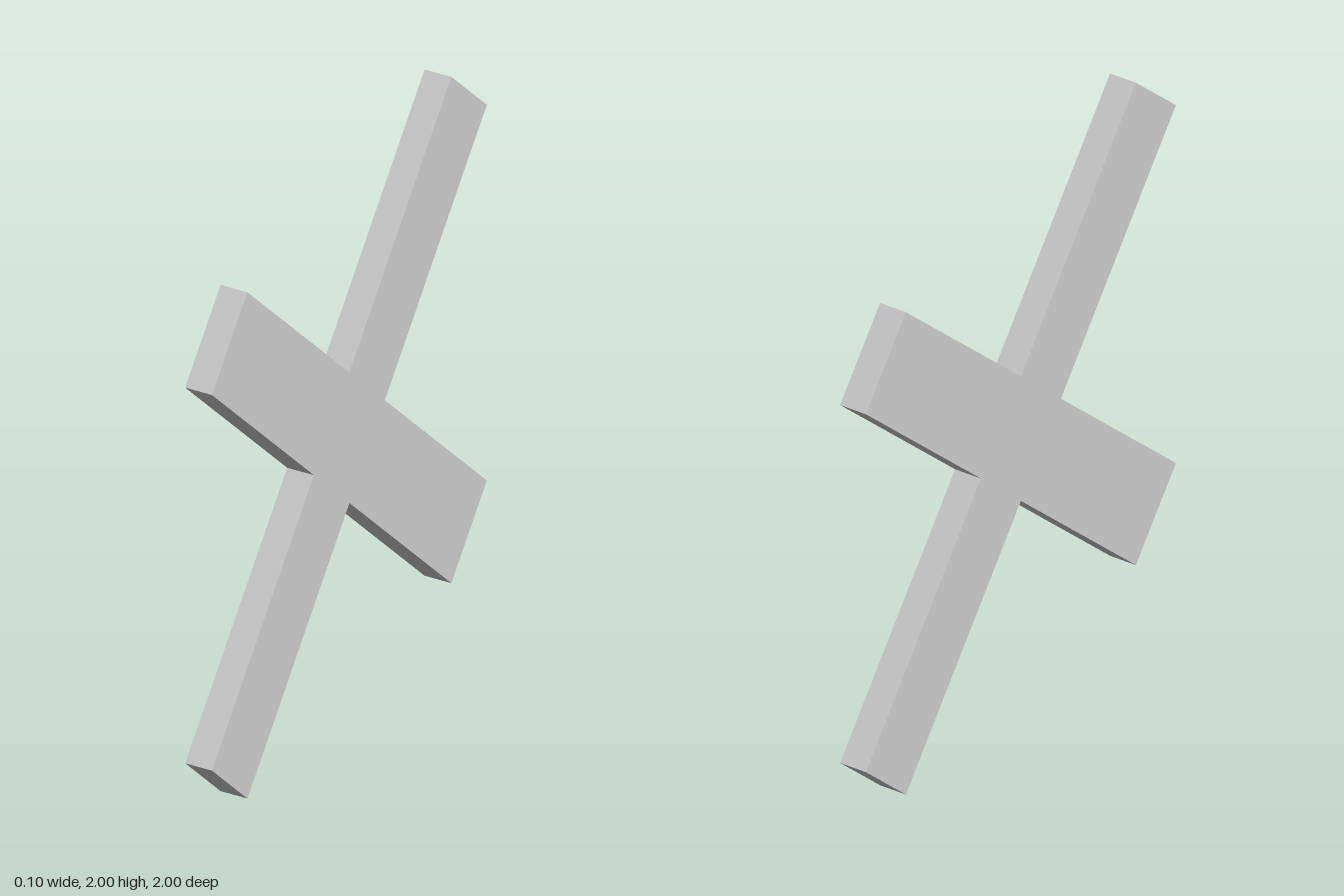
import * as THREE from 'three';

const NOTCH = 0.258;    // distance from centre to each inner corner
const THICKNESS = 0.1;

export function createModel() {
  const group = new THREE.Group();
  group.name = 'diagonalCross';

  // Outline: per quarter turn, one inner corner and the two corners of an arm end
  const quarter = [[NOTCH, 0], [1, 1 - NOTCH], [1 - NOTCH, 1]];
  const outline = [];
  for (let i = 0; i < 4; i++) {
    for (const [x, y] of quarter) {
      outline.push(new THREE.Vector2(x, y).rotateAround(new THREE.Vector2(), i * Math.PI / 2));
    }
  }

  // Flat plate, turned so that its broad faces look along x
  const geometry = new THREE.ExtrudeGeometry(new THREE.Shape(outline), {
    depth: THICKNESS, bevelEnabled: false,
  });
  geometry.translate(0, 0, -THICKNESS / 2).rotateY(Math.PI / 2).translate(0, 1, 0);

  const cross = new THREE.Mesh(geometry, new THREE.MeshStandardMaterial({ color: 0xcccccc, flatShading: true }));
  cross.name = 'crossPlate';
  group.add(cross);
  return group;
}
